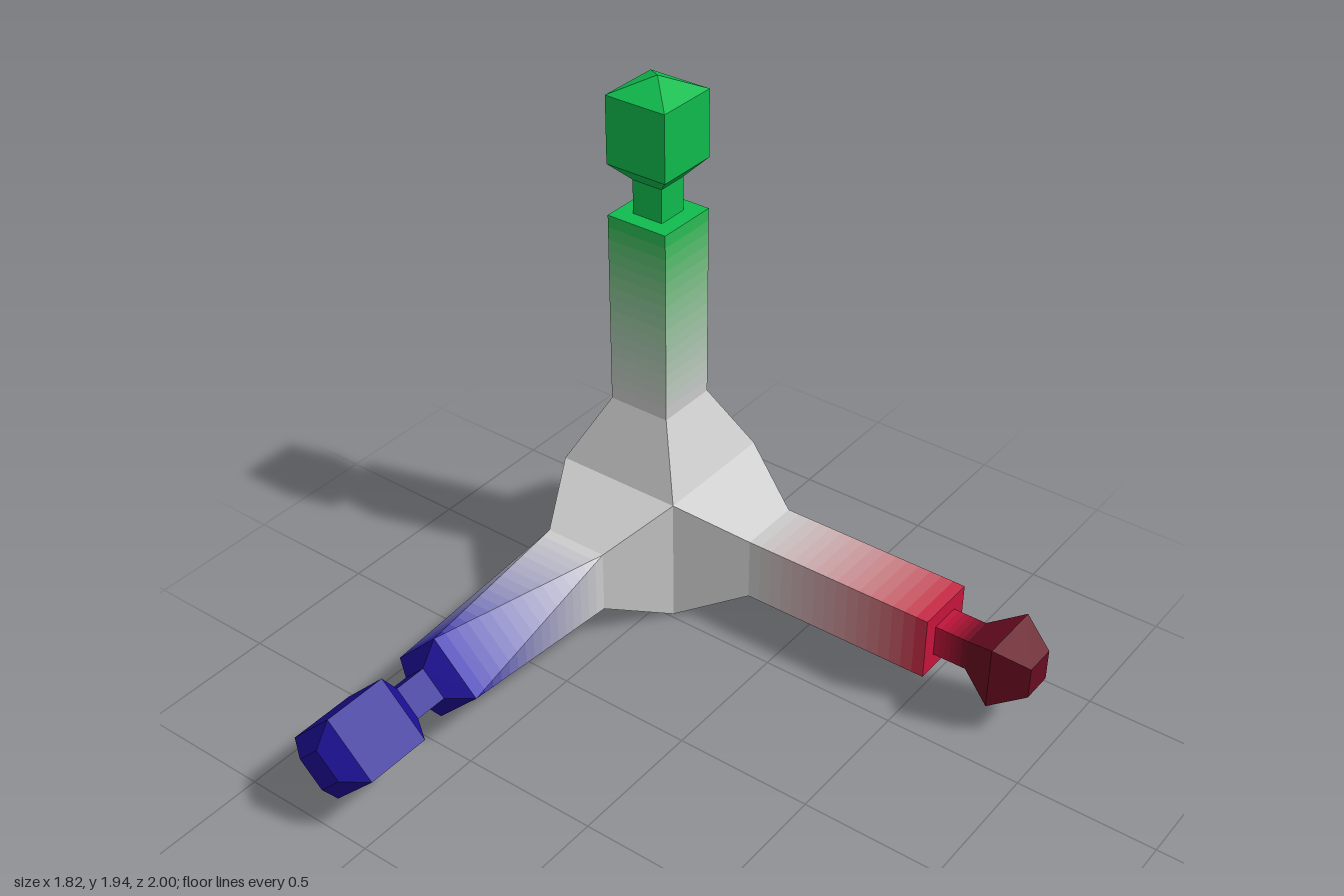
import * as THREE from 'three';

const GREY = 0xcccccc, GREEN = 0x10bc4e, RED = 0xc8143c, DARK_RED = 0x660c20, BLUE = 0x2412b0, DARK_BLUE = 0x1d0f95;
const HUB = 0.2425; // half size of the hub cube

// Eight-point ring: a square (corners doubled) or the same square turned 45 degrees.
// Blending one kind into the other gives the faceted twist of the blue shaft.
function ring([y, half, turned]) {
  const points = [], r = half * Math.SQRT2;
  for (let i = 0; i < 4; i++) {
    for (const side of [-1, 1]) {
      const a = i * Math.PI / 2 + (turned ? 0 : side * Math.PI / 4);
      points.push(new THREE.Vector3(r * Math.sin(a), y, r * Math.cos(a)));
    }
  }
  return points;
}

// Skin a run of rings, leaving out collapsed triangles
function skin(rings) {
  const pos = [], tri = new THREE.Triangle();
  const add = (a, b, c) => {
    tri.set(a, b, c);
    if (tri.getArea() > 1e-8) for (const p of [a, b, c]) pos.push(p.x, p.y, p.z);
  };
  for (let k = 0; k + 1 < rings.length; k++) {
    const lo = rings[k], hi = rings[k + 1];
    for (let i = 0; i < 8; i++) {
      const j = (i + 1) % 8;
      add(lo[i], lo[j], hi[j]);
      add(lo[i], hi[j], hi[i]);
    }
  }
  const geometry = new THREE.BufferGeometry();
  geometry.setAttribute('position', new THREE.Float32BufferAttribute(pos, 3));
  geometry.computeVertexNormals();
  return geometry;
}

function mesh(name, geometry, color) {
  const m = new THREE.Mesh(geometry, new THREE.MeshStandardMaterial({ color, flatShading: true }));
  m.name = name;
  return m;
}

const solid = (name, color, sections) => mesh(name, skin(sections.map(ring)), color);

// A straight run between two sections, cut into bands that fade from one colour to another
function fade(name, from, to, colorA, colorB, bands) {
  const group = new THREE.Group();
  group.name = name;
  const a = ring(from), b = ring(to);
  const at = t => a.map((p, i) => p.clone().lerp(b[i], t));
  for (let k = 0; k < bands; k++) {
    const color = new THREE.Color(colorA).lerp(new THREE.Color(colorB), (k + 0.5) / bands);
    group.add(mesh(name + 'Band', skin([at(k / bands), at((k + 1) / bands)]), color));
  }
  return group;
}

// Each arm is built upward from the hub centre; sections are [distance, half width, turned]
function arm(name, ...parts) {
  const group = new THREE.Group();
  group.name = name;
  group.add(solid('shoulder', GREY, [[HUB, HUB], [0.485, 0.12]]), ...parts);
  return group;
}

export function createModel() {
  const model = new THREE.Group();
  model.name = 'axisMarker';
  model.position.set(-0.668, HUB, -0.7575);

  // Hub: only the three cube faces without an arm
  const cube = new THREE.BoxGeometry(2 * HUB, 2 * HUB, 2 * HUB);
  const index = Array.from(cube.index.array);
  cube.setIndex([1, 3, 5].flatMap(f => index.slice(f * 6, f * 6 + 6)));
  cube.clearGroups();
  model.add(mesh('hub', cube, GREY));

  // Upright arm with a pointed block
  const up = arm('uprightArm',
    fade('shaft', [0.485, 0.12], [1.21, 0.12], GREY, GREEN, 16),
    solid('neckAndBlock', GREEN, [[1.21, 0.12], [1.21, 0.06], [1.335, 0.06], [1.398, 0.12], [1.642, 0.12], [1.7, 0]]));

  // Sideways arm with a double-tapered knob
  const side = arm('sideArm',
    fade('shaft', [0.485, 0.12], [1.21, 0.12], GREY, RED, 16),
    solid('step', RED, [[1.21, 0.12], [1.21, 0.06]]),
    fade('neck', [1.21, 0.06], [1.335, 0.06], RED, DARK_RED, 6),
    solid('knob', DARK_RED, [[1.335, 0.06], [1.455, 0.12], [1.575, 0.06], [1.575, 0]]));
  side.rotation.z = -Math.PI / 2;

  // Forward arm: the shaft twists from square to diamond, then a chamfered block
  const forward = arm('forwardArm',
    fade('shaft', [0.485, 0.12], [1.21, 0.12, true], GREY, BLUE, 16),
    solid('neckAndBlock', DARK_BLUE, [[1.21, 0.12, true], [1.272, 0.06, true], [1.395, 0.06, true],
      [1.455, 0.12, true], [1.697, 0.12, true], [1.7575, 0.06, true], [1.7575, 0, true]]));
  forward.rotation.x = Math.PI / 2;

  model.add(up, side, forward);
  const root = new THREE.Group();
  root.add(model);
  return root;
}
